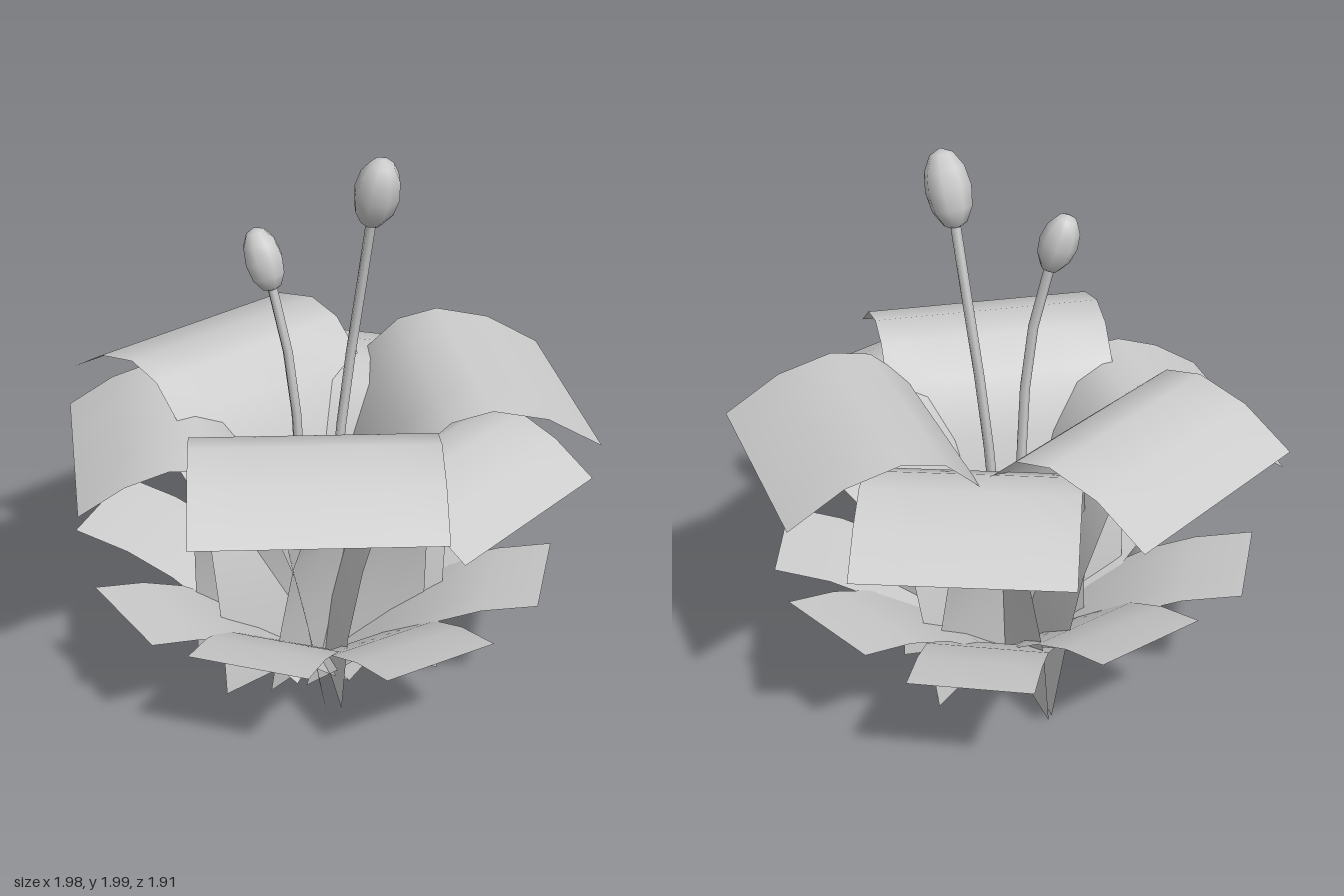
import * as THREE from 'three';

const grey = new THREE.MeshStandardMaterial({ color: 0xcccccc, side: THREE.DoubleSide });
grey.name = 'pale grey';

// Curved strip: profile points are [distance outward, height], running base to tip
function strip(name, profile, half, azimuth, { reach = 1, shift = 0, lift = 1 }) {
  const n = profile.length - 1;
  const geo = new THREE.PlaneGeometry(2 * half, 1, 4, n);
  const pos = geo.attributes.position;
  for (let i = 0; i < pos.count; i++) {
    const [r, y] = profile[n - Math.floor(i / 5)];
    pos.setXYZ(i, pos.getX(i) + shift, y * lift, r * reach);
  }
  geo.computeVertexNormals();
  const mesh = new THREE.Mesh(geo, grey);
  mesh.name = name;
  mesh.rotation.y = azimuth;
  return mesh;
}

// Curved stalk with an egg-shaped head continuing along its end
function stamen(points, centre, radius, halfLength) {
  const group = new THREE.Group();
  group.name = 'stamen';
  const path = points.map(p => new THREE.Vector3(...p));
  const stalk = new THREE.Mesh(
    new THREE.TubeGeometry(new THREE.CatmullRomCurve3(path), 6, 0.018, 6), grey);
  stalk.name = 'stalk';
  const head = new THREE.Mesh(new THREE.SphereGeometry(1, 8, 6), grey);
  head.name = 'anther';
  head.scale.set(radius, halfLength, radius);
  head.position.set(...centre);
  const dir = head.position.clone().sub(path[path.length - 1]).normalize();
  head.quaternion.setFromUnitVectors(new THREE.Vector3(0, 1, 0), dir);
  group.add(stalk, head);
  return group;
}

export function createModel() {
  const flower = new THREE.Group();
  flower.name = 'flower';

  // Three upper petals: direction x, z, reach, sideways shift
  const upper = [[0.02, 0.01], [0.04, 0.3], [0.09, 0.58], [0.16, 0.83], [0.26, 1.03],
    [0.38, 1.14], [0.52, 1.17], [0.71, 1.12], [0.9, 1.0]];
  for (const [x, z, reach, shift] of [
    [0.34, 0.94, 0.945, -0.03], [-0.85, -0.53, 1.01, 0], [0.88, -0.47, 1.03, 0.065]])
    flower.add(strip('upperPetal', upper, 0.417, Math.atan2(x, z), { reach, shift }));

  // Three lower petals: direction x, z, reach, half width, sideways shift
  const lower = [[0.02, 0.01], [0.07, 0.3], [0.13, 0.58], [0.22, 0.83], [0.33, 0.98],
    [0.43, 1.03], [0.55, 1.04], [0.7, 0.99], [0.86, 0.89]];
  for (const [x, z, reach, half, shift] of [
    [-0.07, -1, 1.085, 0.366, -0.08], [-0.9, 0.43, 1, 0.41, -0.05],
    [0.92, 0.38, 1, 0.368, 0.08]])
    flower.add(strip('lowerPetal', lower, half, Math.atan2(x, z), { reach, shift }));

  // Ring of eight narrow leaves around the base: degrees, reach, lift
  const leaf = [[0, 0.015], [0.12, 0.1], [0.27, 0.22], [0.47, 0.35], [0.64, 0.42], [0.84, 0.465]];
  for (const [deg, reach, lift] of [[0, 0.92, 1], [48, 0.97, 1], [96, 0.98, 1.01], [140, 0.99, 1.03],
    [180, 1.06, 1], [225, 0.96, 1.03], [267, 1.04, 1.04], [320, 0.95, 1]])
    flower.add(strip('leaf', leaf, 0.213, THREE.MathUtils.degToRad(deg), { reach, lift }));

  // Two stamens
  flower.add(stamen([[0.02, 0.1, -0.05], [0.03, 0.7, -0.11], [0.07, 1.15, -0.13],
    [0.115, 1.47, -0.12], [0.165, 1.76, -0.07]], [0.19, 1.866, -0.045], 0.08, 0.138));
  flower.add(stamen([[-0.04, 0.1, 0.04], [-0.04, 0.7, 0.07], [-0.06, 1.17, 0.09],
    [-0.09, 1.36, 0.095], [-0.135, 1.54, 0.09]], [-0.165, 1.633, 0.085], 0.068, 0.115));

  return flower;
}
